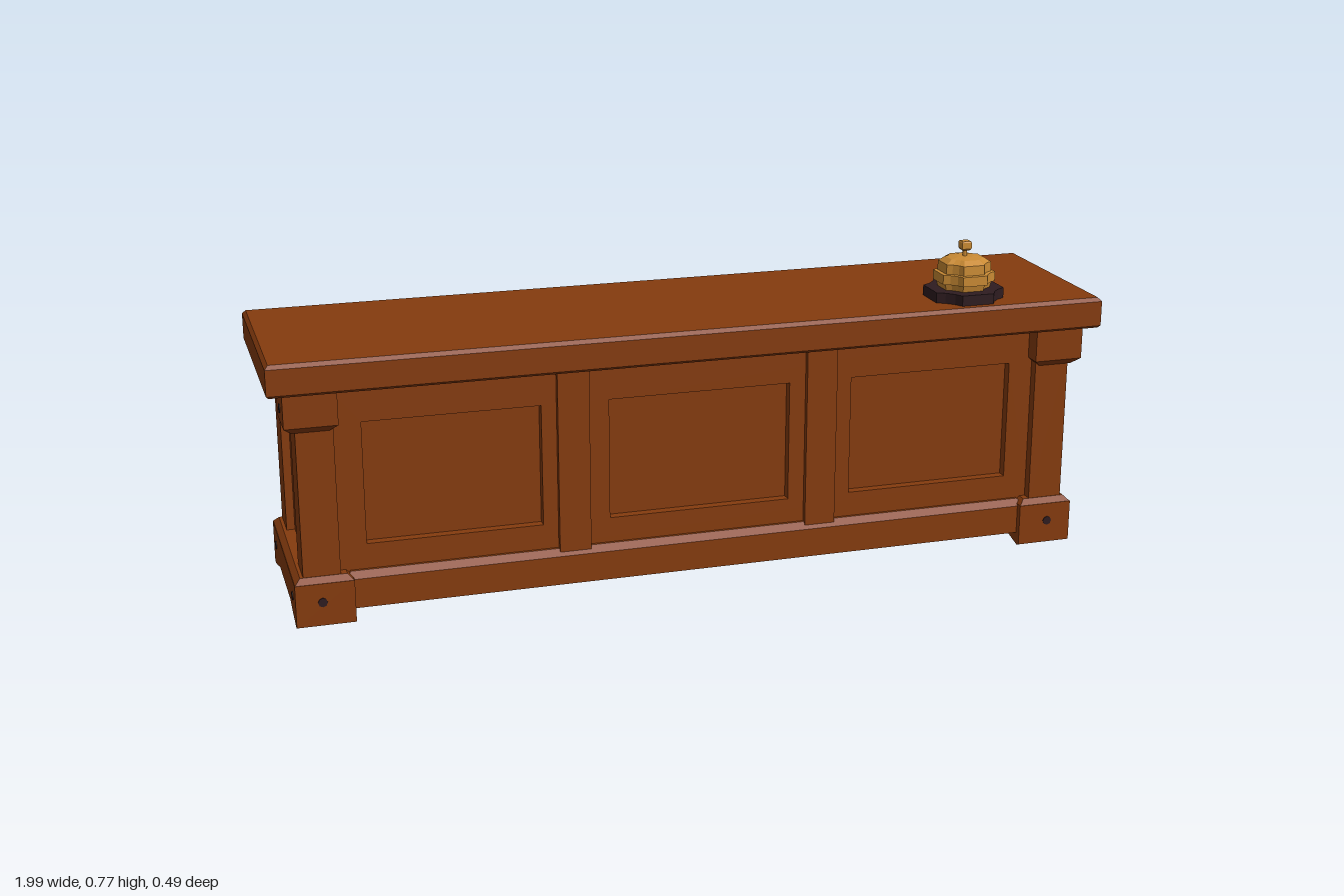
import * as THREE from 'three';

const mat = (name, color) => {
  const m = new THREE.MeshStandardMaterial({ color });
  m.name = name;
  return m;
};

// Outlines seen from above, as functions of an inset or radius
const rect = (hx, hz) => (inset) => {
  const x = hx - inset, z = hz - inset;
  return [[x, -z], [x, z], [-x, z], [-x, -z]];
};
const notched = (r) => {
  const pts = [];
  for (let k = 0; k < 4; k++) {
    const c = Math.round(Math.cos(k * Math.PI / 2)), s = Math.round(Math.sin(k * Math.PI / 2));
    for (const [u, v] of [[1, -0.46], [1, 0.46], [0.78, 0.58], [0.58, 0.78]]) {
      pts.push([(u * c - v * s) * r, (u * s + v * c) * r]);
    }
  }
  return pts;
};

// Closed, hard-edged solid through rings of [height, inset or radius]
function loft(outline, rings) {
  const pos = [];
  const loops = rings.map(([y, s]) => outline(s).map(([x, z]) => [x, y, z]));
  const n = loops[0].length;
  const top = loops[loops.length - 1];
  for (let j = 0; j < n; j++) {
    const k = (j + 1) % n;
    for (let i = 0; i + 1 < loops.length; i++) {
      const a = loops[i][j], b = loops[i][k], c = loops[i + 1][k], d = loops[i + 1][j];
      pos.push(...a, ...d, ...c, ...a, ...c, ...b);
    }
    pos.push(0, top[0][1], 0, ...top[k], ...top[j]);
    pos.push(0, loops[0][0][1], 0, ...loops[0][j], ...loops[0][k]);
  }
  const g = new THREE.BufferGeometry();
  g.setAttribute('position', new THREE.Float32BufferAttribute(pos, 3));
  g.computeVertexNormals();
  return g;
}

export function createModel() {
  const model = new THREE.Group();
  model.name = 'receptionCounter';
  const wood = mat('warmWood', 0x853b0e);
  const dark = mat('darkWood', 0x2e1c20);
  const gold = mat('gold', 0xc98a34);

  const add = (name, geo, material, x = 0, y = 0, z = 0, parent = model) => {
    const m = new THREE.Mesh(geo, material);
    m.name = name;
    m.position.set(x, y, z);
    parent.add(m);
    return m;
  };
  const box = (name, w, h, d, x, y, z) =>
    add(name, new THREE.BoxGeometry(w, h, d), wood, x, y, z);

  // Worktop with chamfered edges, and the carcass below it
  add('worktop', loft(rect(0.995, 0.243),
    [[0.555, 0.006], [0.561, 0], [0.621, 0], [0.63, 0.008]]), wood);
  box('carcass', 1.8, 0.53, 0.31, 0, 0.295, 0);
  add('baseRail', loft(rect(0.84, 0.2), [[0.03, 0], [0.1, 0], [0.115, 0.015]]), wood);

  // Panel frame with three openings
  const frame = new THREE.Shape([[-0.86, 0.1], [0.86, 0.1], [0.86, 0.556], [-0.86, 0.556]]
    .map(([x, y]) => new THREE.Vector2(x, y)));
  for (const [x0, x1] of [[-0.785, -0.375], [-0.215, 0.225], [0.38, 0.79]]) {
    frame.holes.push(new THREE.Path([[x0, 0.175], [x0, 0.465], [x1, 0.465], [x1, 0.175]]
      .map(([x, y]) => new THREE.Vector2(x, y))));
  }
  const frameGeo = new THREE.ExtrudeGeometry(frame, { depth: 0.025, bevelEnabled: false });

  for (const face of [1, -1]) {
    const f = add(face > 0 ? 'frontFrame' : 'backFrame', frameGeo, wood, 0, 0, face * 0.153);
    if (face < 0) f.rotation.y = Math.PI;
    for (const sx of [-1, 1]) box('stile', 0.075, 0.455, 0.04, sx * 0.302, 0.33, face * 0.172);
  }

  // Arched end plinth, drawn in depth and height and extruded across the end
  const plinth = new THREE.Shape([
    [-0.216, 0.004], [-0.205, 0], [-0.15, 0.014], [-0.1, 0.03],
    [0.1, 0.03], [0.15, 0.014], [0.205, 0], [0.216, 0.004], [0.216, 0.105], [-0.216, 0.105],
  ].map(([z, y]) => new THREE.Vector2(z, y)));
  const plinthGeo = new THREE.ExtrudeGeometry(plinth, { depth: 0.135, bevelEnabled: false });
  plinthGeo.rotateY(Math.PI / 2);
  plinthGeo.translate(-0.0675, 0, 0);

  const plinthTop = loft(rect(0.0675, 0.216), [[0.104, 0], [0.118, 0.014]]);
  const postGeo = new THREE.BoxGeometry(0.085, 0.4, 0.092);
  const capGeo = loft(rect(0.06, 0.059), [[0.46, 0.018], [0.476, 0], [0.556, 0]]);
  const plugGeo = new THREE.CylinderGeometry(0.011, 0.011, 0.004, 8);

  for (const sx of [-1, 1]) {
    add('endPlinth', plinthGeo, wood, sx * 0.8885);
    add('plinthChamfer', plinthTop, wood, sx * 0.8885);
    box('endFrieze', 0.06, 0.085, 0.24, sx * 0.905, 0.514, 0);
    box('endPanel', 0.02, 0.37, 0.25, sx * 0.905, 0.295, 0);
    for (const sz of [-1, 1]) {
      // Corner post, its cap and the dark peg heads
      add('cornerPost', postGeo, wood, sx * 0.892, 0.3, sz * 0.155);
      add('postCap', capGeo, wood, sx * 0.9, 0, sz * 0.161);
      add('footPeg', plugGeo, dark, sx * 0.956, 0.062, sz * 0.162).rotation.z = Math.PI / 2;
      add('capPeg', plugGeo, dark, sx * 0.96, 0.508, sz * 0.162).rotation.z = Math.PI / 2;
      add('footFacePeg', plugGeo, dark, sx * 0.895, 0.06, sz * 0.216).rotation.x = Math.PI / 2;
    }
  }

  // Desk bell
  const bell = new THREE.Group();
  bell.name = 'deskBell';
  bell.position.set(0.681, 0, 0.132);
  model.add(bell);
  add('bellBase', loft(notched, [[0.63, 0.087], [0.655, 0.087]]), dark, 0, 0, 0, bell);
  add('bellDome', loft(notched, [
    [0.654, 0.056], [0.67, 0.06], [0.671, 0.067], [0.694, 0.067],
    [0.695, 0.058], [0.718, 0.057], [0.728, 0.042], [0.731, 0.02],
  ]), gold, 0, 0, 0, bell);
  add('bellStem', new THREE.CylinderGeometry(0.005, 0.006, 0.022, 6), gold, 0, 0.738, 0, bell);
  add('bellButton', loft(rect(0.012, 0.012),
    [[0.745, 0.003], [0.749, 0], [0.764, 0], [0.767, 0.002]]), gold, 0, 0, 0, bell);

  return model;
}
